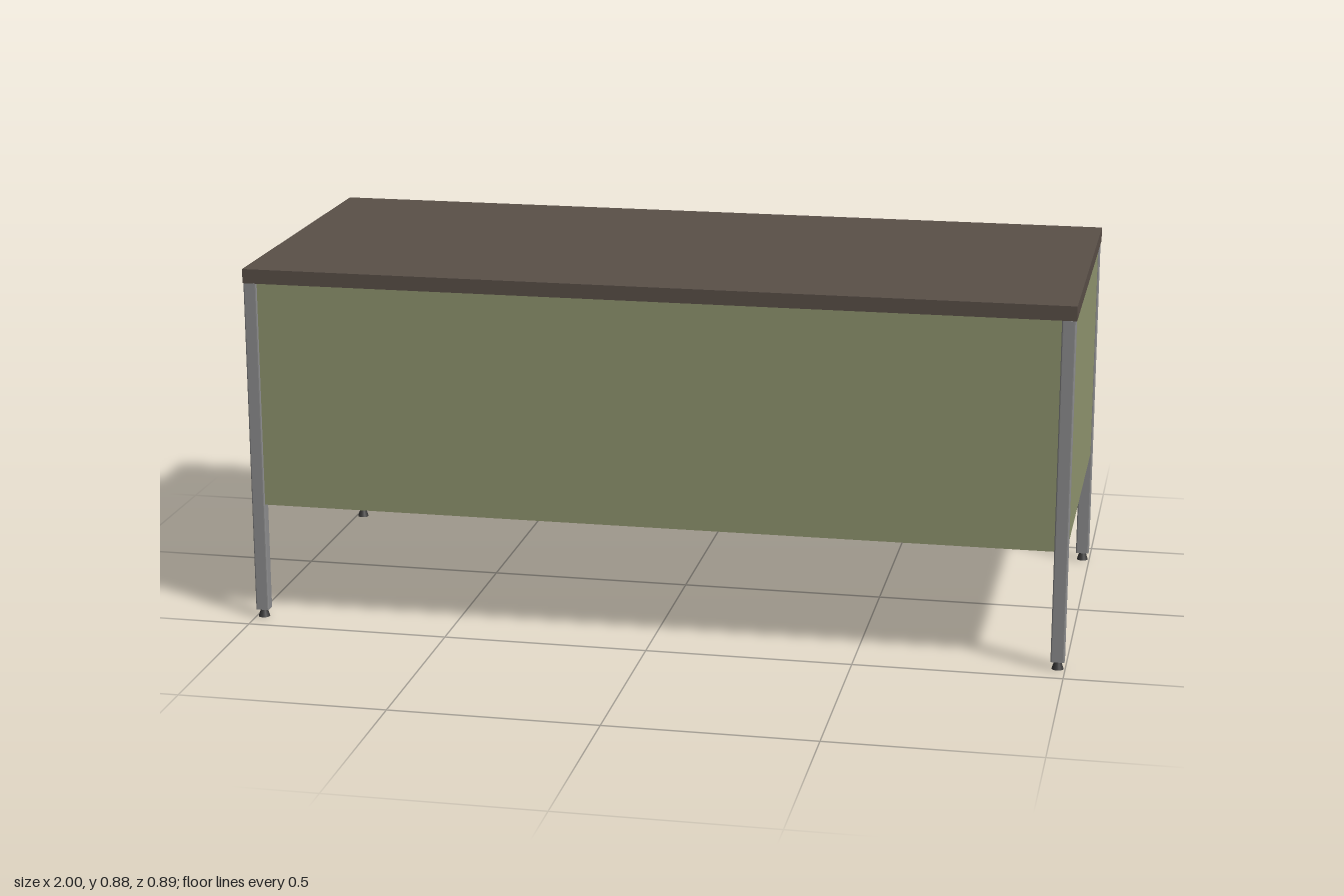
import * as THREE from 'three';

const material = (name, color) => {
  const m = new THREE.MeshStandardMaterial({ color });
  m.name = name;
  return m;
};

export function createModel() {
  const desk = new THREE.Group();
  desk.name = 'desk';
  const brown = material('brown laminate', 0x5a5048);
  const olive = material('olive painted steel', 0x91966f);
  const grey = material('grey metal', 0x8e8e8f);
  const dark = material('dark rubber', 0x3c3b3b);

  const add = (name, geometry, mat) => {
    const mesh = new THREE.Mesh(geometry, mat);
    mesh.name = name;
    desk.add(mesh);
    return mesh;
  };
  // Box given by its limits on each axis
  const box = (name, mat, x0, x1, y0, y1, z0, z1) => {
    const mesh = add(name, new THREE.BoxGeometry(x1 - x0, y1 - y0, z1 - z0), mat);
    mesh.position.set((x0 + x1) / 2, (y0 + y1) / 2, (z0 + z1) / 2);
    return mesh;
  };
  // Plan outline raised upwards; shape y becomes -z
  const raise = (shape, height) =>
    new THREE.ExtrudeGeometry(shape, { depth: height, bevelEnabled: false, curveSegments: 5 })
      .rotateX(-Math.PI / 2);

  const panelBottom = 0.293, topBottom = 0.85;
  const pedestalBack = -0.394;

  // Worktop
  box('worktop', brown, -1, 1, topBottom, 0.885, -0.43, 0.447);

  // Legs: square tube with softened corners, on conical feet
  const w = 0.0165, d = 0.0143, c = 0.004;
  const legShape = new THREE.Shape();
  legShape.moveTo(-w + c, -d);
  legShape.lineTo(w - c, -d);
  legShape.quadraticCurveTo(w, -d, w, -d + c);
  legShape.lineTo(w, d - c);
  legShape.quadraticCurveTo(w, d, w - c, d);
  legShape.lineTo(-w + c, d);
  legShape.quadraticCurveTo(-w, d, -w, d - c);
  legShape.lineTo(-w, -d + c);
  legShape.quadraticCurveTo(-w, -d, -w + c, -d);
  const legGeometry = raise(legShape, topBottom - 0.02);
  const footGeometry = new THREE.CylinderGeometry(0.008, 0.0143, 0.02, 20);
  for (const side of [-1, 1]) {
    for (const [end, z] of [['front', 0.4335], ['back', -0.408]]) {
      add(end + 'Leg', legGeometry, grey).position.set(side * 0.982, 0.02, z);
      add(end + 'Foot', footGeometry, dark).position.set(side * 0.982, 0.01, z);
    }
  }

  // Rail under the back edge of the worktop
  box('backRail', grey, -0.966, 0.966, 0.835, topBottom, -0.42, -0.4);

  // Front panel
  box('frontPanel', olive, -0.966, 0.966, panelBottom, topBottom, 0.425, 0.444);

  // Pedestals reach from the kneehole to the outer side panels
  for (const side of [-1, 1]) {
    const inner = side * 0.47, outer = side * 0.994;
    box('pedestal', olive, Math.min(inner, outer), Math.max(inner, outer),
      panelBottom, topBottom, pedestalBack, 0.427);
  }

  // Raised drawer fronts
  const drawer = (name, x0, x1, y0, y1) =>
    box(name, olive, x0, x1, y0, y1, pedestalBack - 0.018, pedestalBack + 0.005);
  drawer('fileDrawer', -0.966, -0.49, 0.317, 0.652);
  drawer('upperDrawer', 0.49, 0.966, 0.655, 0.834);
  drawer('middleDrawer', 0.49, 0.966, 0.478, 0.652);

  // Handle: a flat U-shaped pull standing off the file drawer
  const h = 0.096, t = 0.015, out = 0.036, bar = 0.009;
  const pull = new THREE.Shape();
  pull.moveTo(-h, 0);
  pull.lineTo(-h + t, 0);
  pull.lineTo(-h + t, out - bar);
  pull.lineTo(h - t, out - bar);
  pull.lineTo(h - t, 0);
  pull.lineTo(h, 0);
  pull.lineTo(h, out - 0.006);
  pull.quadraticCurveTo(h, out, h - 0.006, out);
  pull.lineTo(-h + 0.006, out);
  pull.quadraticCurveTo(-h, out, -h, out - 0.006);
  add('drawerHandle', raise(pull, 0.013), grey).position.set(-0.73, 0.396, pedestalBack - 0.017);

  return desk;
}
